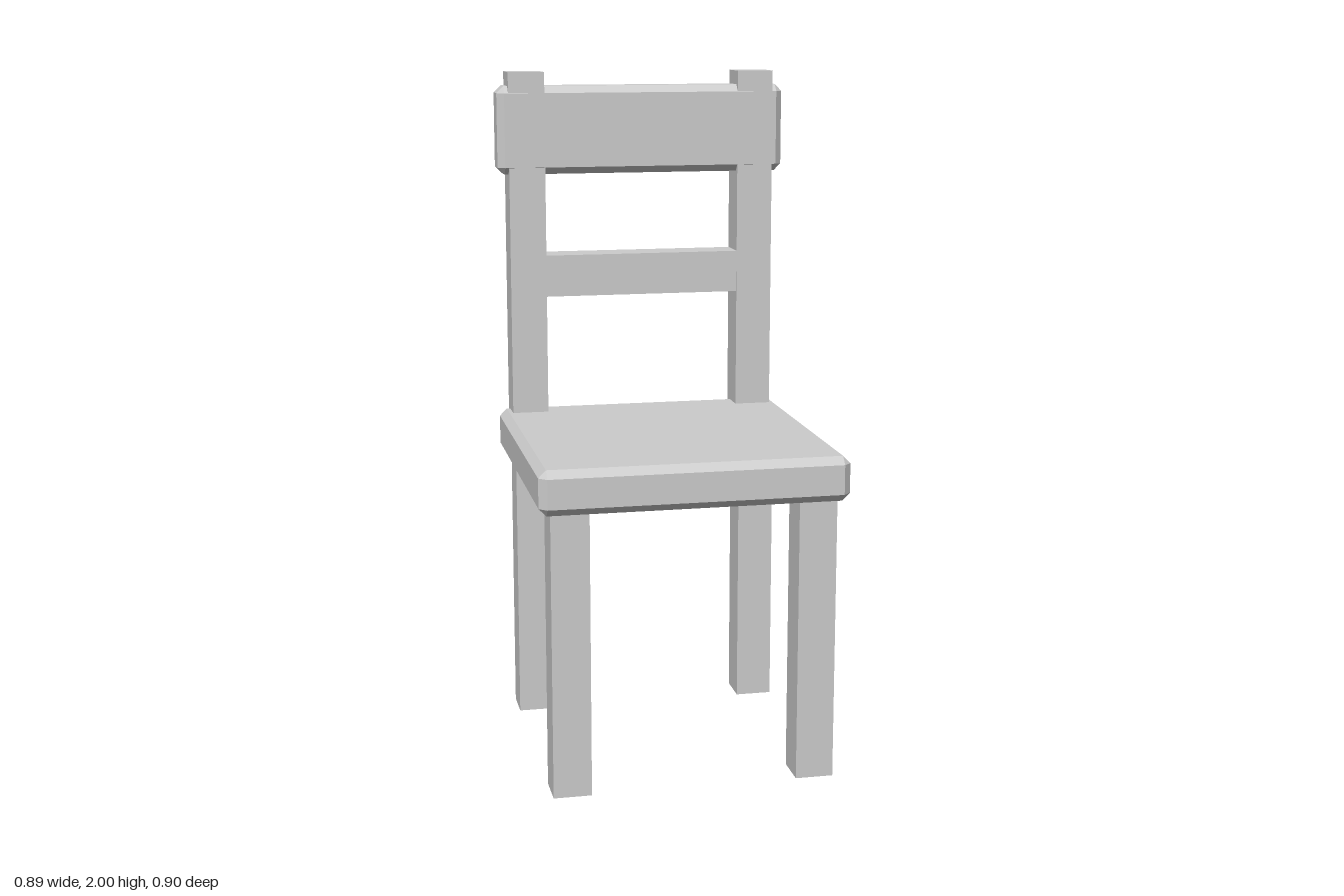
import * as THREE from 'three';
import { ConvexGeometry } from 'three/addons/geometries/ConvexGeometry.js';

// Box with all twelve edges cut at 45 degrees
function chamferedBox(w, h, d, c) {
  const points = [];
  for (const sx of [-1, 1]) for (const sy of [-1, 1]) for (const sz of [-1, 1]) {
    const x = w / 2, y = h / 2, z = d / 2;
    points.push(
      new THREE.Vector3(sx * x, sy * (y - c), sz * (z - c)),
      new THREE.Vector3(sx * (x - c), sy * y, sz * (z - c)),
      new THREE.Vector3(sx * (x - c), sy * (y - c), sz * z),
    );
  }
  return new ConvexGeometry(points);
}

export function createModel() {
  const chair = new THREE.Group();
  chair.name = 'chair';
  const grey = new THREE.MeshStandardMaterial({ color: 0xcccccc });
  grey.name = 'light grey';

  const add = (name, geometry, x, y, z) => {
    const mesh = new THREE.Mesh(geometry, grey);
    mesh.name = name;
    mesh.position.set(x, y, z);
    chair.add(mesh);
  };

  // Seat slab
  add('seat', chamferedBox(0.886, 0.13, 0.886, 0.022), 0, 0.893, 0.006);

  // Legs and back posts, mirrored left and right
  const thick = 0.11, offset = 0.355;
  const leg = new THREE.BoxGeometry(thick, 0.84, thick);
  const post = new THREE.BoxGeometry(thick, 1.105, 0.108);
  for (const [side, s] of [['left', 1], ['right', -1]]) {
    add(`${side}FrontLeg`, leg, s * offset, 0.42, 0.363);
    add(`${side}BackLeg`, leg, s * offset, 0.42, -0.347);
    add(`${side}BackPost`, post, s * offset, 1.4475, -0.395);
  }

  // Wide top rail passing through the posts, and the slat between them
  add('topRail', chamferedBox(0.886, 0.265, 0.109, 0.021), 0, 1.826, -0.395);
  add('middleSlat', new THREE.BoxGeometry(0.62, 0.127, 0.102), 0, 1.382, -0.395);

  return chair;
}
